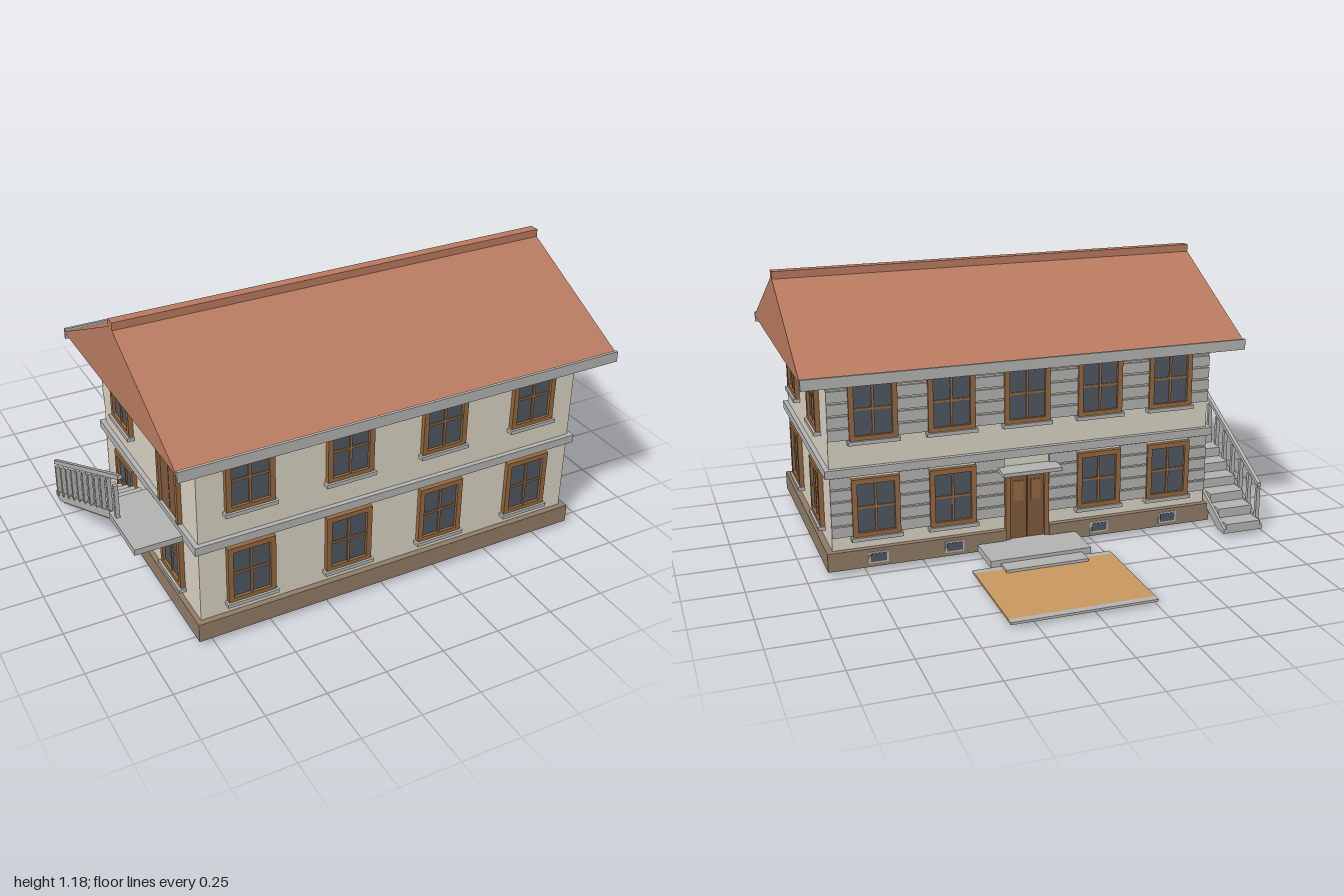
import * as THREE from 'three';

const mat = (color, side = THREE.FrontSide) => new THREE.MeshStandardMaterial({ color, side, flatShading: true });
const M = {
  wall: mat(0xd8d2c2), plinth: mat(0x8f7b66), stone: mat(0xb2b2b0), roof: mat(0xb87a60),
  wood: mat(0x94683f), door: mat(0x7d5a3c), glass: mat(0x4d5661), tan: mat(0xc89860), bracket: mat(0xd8a850),
};

// Box given by its two extreme corners
function box(parent, name, m, x0, x1, y0, y1, z0, z1) {
  const mesh = new THREE.Mesh(new THREE.BoxGeometry(x1 - x0, y1 - y0, z1 - z0), m);
  mesh.position.set((x0 + x1) / 2, (y0 + y1) / 2, (z0 + z1) / 2);
  mesh.name = name;
  parent.add(mesh);
  return mesh;
}

// Profile of [z, y] points extruded along x from x0 to x1
function extrudeX(parent, name, m, points, x0, x1) {
  const shape = new THREE.Shape(points.map(([z, y]) => new THREE.Vector2(-z, y)));
  const geo = new THREE.ExtrudeGeometry(shape, { depth: x1 - x0, bevelEnabled: false });
  geo.rotateY(Math.PI / 2).translate(x0, 0, 0);
  const mesh = new THREE.Mesh(geo, m);
  mesh.name = name;
  parent.add(mesh);
  return mesh;
}

// Rectangular surround, built facing +z
function surround(g, m, w, y0, y1, t, depth) {
  for (const s of [-1, 1]) {
    const x = s * (w / 2 - t / 2);
    box(g, 'jamb', m, x - t / 2, x + t / 2, y0, y1, 0, depth);
  }
  box(g, 'head', m, -w / 2 + t, w / 2 - t, y1 - t, y1, 0, depth);
}

// Four-pane window with sill, standing on a wall that faces +z before turning
function windowUnit(parent, x, z, turn, y0, y1) {
  const g = new THREE.Group();
  g.name = 'window';
  surround(g, M.wood, 0.2, y0, y1, 0.022, 0.02);
  box(g, 'bottomRail', M.wood, -0.078, 0.078, y0, y0 + 0.018, 0, 0.02);
  box(g, 'glass', M.glass, -0.078, 0.078, y0 + 0.018, y1 - 0.022, 0, 0.008);
  const mid = (y0 + y1) / 2;
  box(g, 'mullion', M.wood, -0.005, 0.005, y0 + 0.018, y1 - 0.022, 0, 0.014);
  box(g, 'transom', M.wood, -0.078, 0.078, mid - 0.005, mid + 0.005, 0, 0.013);
  box(g, 'sill', M.stone, -0.108, 0.108, y0 - 0.016, y0, 0, 0.03);
  g.position.set(x, 0, z);
  g.rotation.y = turn;
  parent.add(g);
}

// Double door facing +z before turning
function doorUnit(parent, x, z, turn, w, y0, y1) {
  const g = new THREE.Group();
  g.name = 'door';
  surround(g, M.wood, w, y0, y1, 0.02, 0.018);
  for (const s of [-1, 1]) {
    const c = s * (w - 0.04) / 4, h = (w - 0.04) / 4 - 0.002;
    box(g, 'doorLeaf', M.door, c - h, c + h, y0 + 0.02, y1 - 0.02, 0, 0.008);
    box(g, 'doorPanel', M.wood, c - h * 0.6, c + h * 0.6, y1 - 0.14, y1 - 0.05, 0, 0.012);
  }
  g.position.set(x, 0, z);
  g.rotation.y = turn;
  parent.add(g);
}

export function createModel() {
  const root = new THREE.Group();
  root.name = 'house';
  const L = -0.79, R = 0.885, B = -0.195, F = 0.78, DX = 0.047;
  const storeys = [[0.155, 0.405], [0.57, 0.825]];

  // Walls, plinth with a doorway gap, string course and cornice
  box(root, 'walls', M.wall, L, R, 0.1, 0.855, B, F);
  box(root, 'plinth', M.plinth, -0.81, 0.91, 0.02, 0.1, B, 0.805);
  box(root, 'plinthBackRight', M.plinth, -0.81, DX - 0.097, 0.02, 0.1, -0.22, B);
  box(root, 'plinthBackLeft', M.plinth, DX + 0.097, 0.91, 0.02, 0.1, -0.22, B);
  box(root, 'stringCourse', M.stone, -0.81, 0.905, 0.42, 0.455, -0.215, 0.8);
  box(root, 'cornice', M.stone, L - 0.006, R + 0.006, 0.838, 0.855, B - 0.006, F + 0.006);

  // Roof prism, ridge cap and eave boards
  extrudeX(root, 'roof', M.roof, [[0.885, 0.852], [0.885, 0.857], [0.29, 1.155], [-0.305, 0.857], [-0.305, 0.852]], -0.9, 1);
  box(root, 'ridgeCap', M.roof, -0.9, 1, 1.145, 1.177, 0.27, 0.312);
  box(root, 'frontEaveBoard', M.stone, -0.9, 1, 0.825, 0.87, 0.88, 0.892);
  box(root, 'backEaveBoard', M.stone, -0.9, 1, 0.825, 0.87, -0.312, -0.3);

  // Stepped eave brackets on both long sides
  for (let i = 0; i < 12; i++) {
    const x = -0.716 + i * 0.1395;
    for (const [z, s] of [[F, 1], [B, -1]]) {
      const p = [[z, 0.8], [z + s * 0.025, 0.8], [z + s * 0.025, 0.815], [z + s * 0.04, 0.83], [z + s * 0.04, 0.854], [z, 0.854]];
      extrudeX(root, 'eaveBracket', M.bracket, s > 0 ? p : p.reverse(), x - 0.011, x + 0.011);
    }
  }

  // Windows
  storeys.forEach(([y0, y1], level) => {
    for (let i = 0; i < 4; i++) windowUnit(root, -0.58 + i * 0.42, F, 0, y0, y1);
    for (let i = -2; i <= 2; i++) {
      if (level === 1 || i !== 0) windowUnit(root, DX + i * 0.326, B, Math.PI, y0, y1);
    }
    for (const z of [0.05, 0.535]) {
      windowUnit(root, R, z, Math.PI / 2, y0, y1);
      if (level === 0 || z < 0.5) windowUnit(root, L, z, -Math.PI / 2, y0, y1);
    }
  });

  // Grooved stone courses between the back windows
  storeys.forEach(([y0], level) => {
    const top = level ? 0.838 : 0.42, n = 5, h = (top - y0) / n;
    const edges = [L];
    for (let i = -2; i <= 2; i++) edges.push(DX + i * 0.326 - 0.1, DX + i * 0.326 + 0.1);
    edges.push(R);
    for (let k = 0; k < edges.length; k += 2) {
      for (let j = 0; j < n; j++) {
        box(root, 'stoneCourse', M.stone, edges[k], edges[k + 1], y0 + j * h + 0.004, y0 + (j + 1) * h - 0.004, B - 0.011, B);
      }
    }
  });

  // Cellar windows in the back plinth
  for (const i of [-2, -1, 1, 2]) {
    const x = DX + i * 0.326;
    box(root, 'cellarWindowFrame', M.stone, x - 0.042, x + 0.042, 0.036, 0.086, -0.223, -0.22);
    box(root, 'cellarWindow', M.glass, x - 0.034, x + 0.034, 0.043, 0.079, -0.225, -0.22);
  }

  // Back entrance: door, canopy, steps and paved pad
  doorUnit(root, DX, B, Math.PI, 0.194, 0, 0.362);
  box(root, 'canopy', M.stone, DX - 0.13, DX + 0.13, 0.364, 0.38, -0.285, B);
  box(root, 'entranceStepUpper', M.stone, -0.17, 0.272, 0.022, 0.052, -0.4, B - 0.005);
  box(root, 'entranceStepLower', M.stone, -0.13, 0.228, 0.025, 0.037, -0.472, -0.4);
  box(root, 'pavedPad', M.tan, -0.255, 0.352, 0.014, 0.024, -0.86, -0.43);
  box(root, 'padKerbOuter', M.stone, -0.255, 0.352, 0.014, 0.024, -0.89, -0.86);
  box(root, 'padKerbInner', M.stone, -0.255, 0.352, 0.014, 0.024, -0.43, -0.4);

  // Outside stair on the right-hand end, rising to the upper door
  const stair = new THREE.Group();
  stair.name = 'outsideStair';
  root.add(stair);
  doorUnit(stair, L, 0.535, -Math.PI / 2, 0.2, 0.435, 0.825);
  box(stair, 'landing', M.stone, -1, L, 0.41, 0.435, 0.41, 0.68);
  const n = 10, run = 0.08, rise = 0.0415, z0 = -0.39, y0 = 0.02;
  const profile = [[z0, y0]];
  for (let i = 0; i < n; i++) {
    profile.push([z0 + i * run, y0 + (i + 1) * rise], [z0 + (i + 1) * run, y0 + (i + 1) * rise]);
  }
  profile.push([0.41, 0.385], [z0 + 0.085, y0]);
  extrudeX(stair, 'steps', M.stone, profile.reverse(), -0.975, -0.812);
  const slope = rise / run;
  const string = [[z0, y0], [z0 + 0.06, y0], [0.42, 0.4], [0.42, 0.435], [z0, 0.04]];
  for (const x of [-0.985, -0.812]) extrudeX(stair, 'stringer', M.stone, string, x, x + 0.012);
  for (let i = 0; i < 11; i++) {
    const z = z0 + 0.045 + i * run, y = Math.min(y0 + (i + 0.6) * rise, 0.43);
    box(stair, 'railPost', M.stone, -0.99, -0.973, y, y + 0.15, z - 0.008, z + 0.008);
  }
  const railY = (z) => 0.203 + (z + 0.355) * slope;
  extrudeX(stair, 'handrail', M.stone,
    [[-0.355, railY(-0.355)], [0.52, railY(0.52) - 0.012], [0.52, railY(0.52) + 0.008], [-0.355, railY(-0.355) + 0.02]], -0.99, -0.973);
  return root;
}
